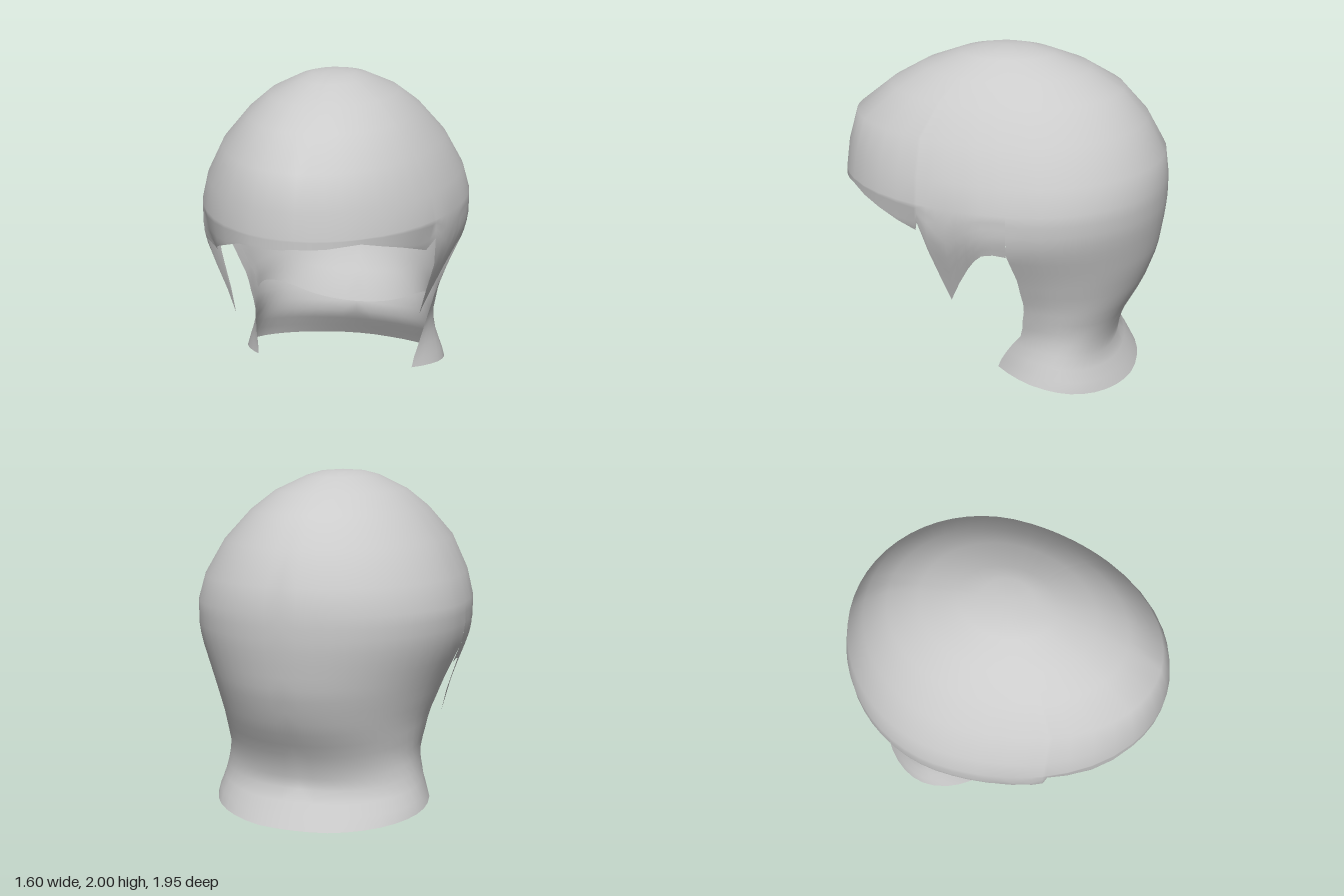
import * as THREE from 'three';
import { mergeVertices } from 'three/addons/utils/BufferGeometryUtils.js';

// Elliptical cross-sections: y, half width, centre z, reach forward, reach back, angle of the open front edge
const E = 1.526;
const SECTIONS = [
  [2, 0, 0, 0, 0, E], [1.99, 0.13, 0, 0.15, 0.15, E], [1.965, 0.21, 0, 0.28, 0.28, E],
  [1.88, 0.38, -0.03, 0.53, 0.47, E], [1.77, 0.51, -0.05, 0.74, 0.64, E],
  [1.6, 0.655, -0.09, 0.99, 0.75, E], [1.4, 0.76, -0.13, 1.085, 0.82, E],
  [1.25, 0.8, -0.15, 1.125, 0.82, E], [1.1, 0.8, -0.15, 1.12, 0.82, E],
  [1.0, 0.775, -0.15, 1.12, 0.81, E], [0.8, 0.69, -0.2, 0.95, 0.73, E],
  [0.6, 0.615, -0.27, 0.75, 0.59, 1.46], [0.4, 0.575, -0.32, 0.6, 0.43, 1.318],
  [0.3, 0.585, -0.33, 0.56, 0.385, 1.14], [0.2, 0.615, -0.34, 0.53, 0.365, 0.968],
  [0.1, 0.65, -0.35, 0.53, 0.42, 0.85], [0, 0.66, -0.35, 0.53, 0.48, 0.85],
];
// Lower edge of fringe, side lock and ear opening: angle from the front, height
const FRINGE = [
  [0, 1.2], [0.1, 1.2], [0.22, 1.205], [0.34, 1.215], [0.45, 1.22], [0.6, 1.19], [0.75, 1.155],
  [0.9, 1.11], [1.02, 1.07], [1.04, 1.14], [1.1, 0.96], [1.155, 0.78], [1.21, 0.61],
  [1.265, 0.75], [1.32, 0.87], [1.36, 0.94], [1.4, 0.985], [1.46, 1.0], [E, 0.99],
];
const RIM = 1.25;

function section(y) {
  let i = 0;
  while (i < SECTIONS.length - 2 && SECTIONS[i + 1][0] > y) i++;
  const a = SECTIONS[i], b = SECTIONS[i + 1];
  const t = (a[0] - y) / (a[0] - b[0]);
  return a.map((v, k) => v + (b[k] - v) * t);
}

// Point on the shell; rear columns slide along with the open front edge
function shellPoint(angle, y, rear, side, inset = 0) {
  let [, w, z0, front, back, edge] = section(y);
  if (rear) angle = Math.PI - (Math.PI - angle) * (Math.PI - edge) / (Math.PI - E);
  else if (y < RIM) {
    [, , z0, front] = section(RIM);
    // Ends of the fringe tuck in behind the side locks
    if (angle < 1.03) w *= 1 - 0.3 * (RIM - y) * angle;
  }
  const c = Math.cos(angle);
  return [side * (w - inset) * Math.sin(angle), y, z0 + c * (c > 0 ? front : back - inset)];
}

// Adds a grid of rows x columns to the triangle list
function addGrid(out, rows, cols, point, flip) {
  for (let r = 0; r < rows; r++) for (let c = 0; c < cols; c++) {
    const a = point(r, c), b = point(r + 1, c), d = point(r, c + 1), e = point(r + 1, c + 1);
    const tris = flip ? [a, d, b, b, d, e] : [a, b, d, b, e, d];
    for (let k = 0; k < 6; k += 3) {
      const [p, q, s] = tris.slice(k, k + 3).map((v) => new THREE.Vector3(...v));
      if (q.sub(p).cross(s.sub(p)).length() > 1e-9) out.push(...tris.slice(k, k + 3).flat());
    }
  }
}

function smoothMesh(name, points) {
  const g = new THREE.BufferGeometry();
  g.setAttribute('position', new THREE.Float32BufferAttribute(points, 3));
  const merged = mergeVertices(g, 1e-4);
  merged.computeVertexNormals();
  const mesh = new THREE.Mesh(merged,
    new THREE.MeshStandardMaterial({ color: 0xcccccc, side: THREE.DoubleSide }));
  mesh.name = name;
  return mesh;
}

export function createModel() {
  const group = new THREE.Group();
  group.name = 'hair';
  const shell = [], lining = [];
  const rear = Array.from({ length: 15 }, (_, i) => E + (Math.PI - E) * i / 14);
  const columns = [...FRINGE.map((f) => f[0]), ...rear.slice(1)];
  const capRows = SECTIONS.filter((s) => s[0] >= RIM).map((s) => s[0]);

  for (const side of [1, -1]) {
    const flip = side < 0;
    // Crown
    addGrid(shell, capRows.length - 1, columns.length - 1,
      (r, c) => shellPoint(columns[c], capRows[r], false, side), !flip);
    // Fringe and pointed side lock, hanging a little lower on the right
    addGrid(shell, 6, FRINGE.length - 1, (r, c) => {
      const [angle, low] = FRINGE[c];
      const bottom = low - (flip ? 0.1 * Math.sin(angle) : 0);
      return shellPoint(angle, RIM + (bottom - RIM) * r / 6, false, side);
    }, !flip);
    // Back of the head and flared nape
    addGrid(shell, 18, rear.length - 1, (r, c) => {
      const t = c / (rear.length - 1);
      const bottom = Math.max(0, 0.081 + 0.085 * Math.cos(0.85 + 2.29 * t));
      return shellPoint(rear[c], RIM + (bottom - RIM) * r / 18, true, side);
    }, !flip);
    // Lining just inside the back, from the ear openings down to a curved lip above the nape
    addGrid(lining, 10, rear.length - 1, (r, c) => {
      const s = Math.sin(rear[c]);
      const top = 1.25 - 0.3 * s * s, lip = 0.3 + 0.23 * s * s;
      return shellPoint(rear[c], top + (lip - top) * r / 10, true, side, 0.055);
    }, flip);
  }
  group.add(smoothMesh('hairShell', shell), smoothMesh('innerLining', lining));
  return group;
}
